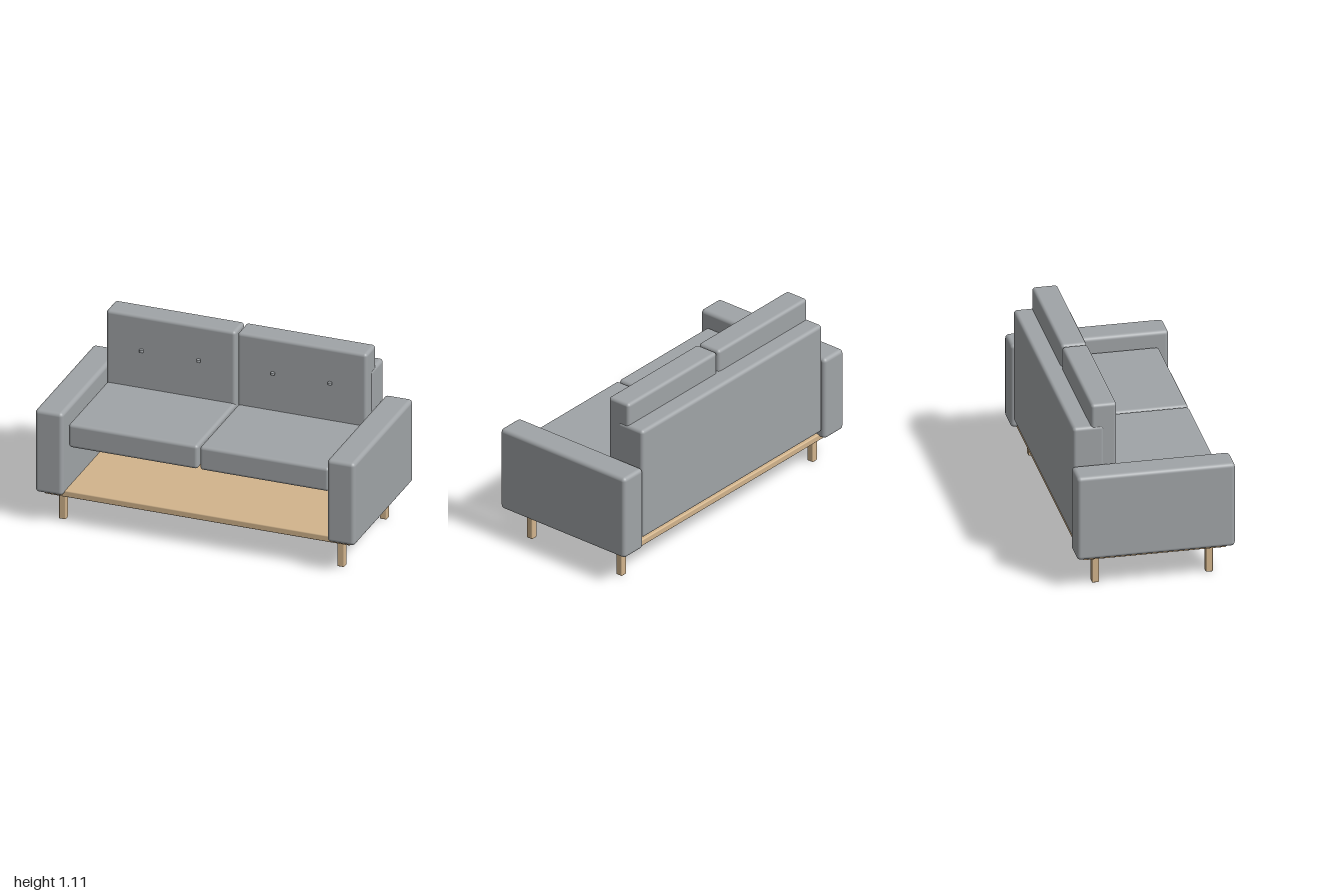
import * as THREE from 'three';
import { RoundedBoxGeometry } from 'three/addons/geometries/RoundedBoxGeometry.js';

export function createModel() {
  const sofa = new THREE.Group();
  sofa.name = 'sofa';

  const fabric = new THREE.MeshStandardMaterial({ color: 0xa0a4a7 });
  fabric.name = 'grey fabric';
  const wood = new THREE.MeshStandardMaterial({ color: 0xd2b48c });
  wood.name = 'light wood';

  // Rounded block given by its extents on each axis
  function block(name, [x0, x1], [y0, y1], [z0, z1], radius, material) {
    const geometry = new RoundedBoxGeometry(x1 - x0, y1 - y0, z1 - z0, 4, radius);
    const mesh = new THREE.Mesh(geometry, material);
    mesh.name = name;
    mesh.position.set((x0 + x1) / 2, (y0 + y1) / 2, (z0 + z1) / 2);
    sofa.add(mesh);
  }

  // Wooden base board and upholstered back panel
  block('baseBoard', [-0.955, 0.955], [0.18, 0.222], [-0.427, 0.427], 0.008, wood);
  block('backPanel', [-0.82, 0.82], [0.257, 0.973], [-0.459, -0.27], 0.022, fabric);

  const buttonGeometry = new THREE.CylinderGeometry(0.0125, 0.0125, 0.015, 16);

  for (const side of [-1, 1]) {
    const label = side > 0 ? 'left' : 'right';
    const span = (a, b) => (side > 0 ? [a, b] : [-b, -a]);

    // Arm, seat cushion and back cushion
    block(label + 'Arm', span(0.826, 1), [0.202, 0.736], [-0.471, 0.471], 0.024, fabric);
    block(label + 'SeatCushion', span(0.006, 0.815), [0.494, 0.647], [-0.3, 0.408], 0.02, fabric);
    block(label + 'BackCushion', span(0.006, 0.815), [0.6, 1.111], [-0.349, -0.196], 0.02, fabric);

    // Front and back legs
    for (const end of [-1, 1]) {
      const z = end * 0.339;
      block(label + (end > 0 ? 'FrontLeg' : 'BackLeg'),
        span(0.849, 0.892), [0, 0.18], [z - 0.0215, z + 0.0215], 0.006, wood);
    }

    // Buttons on the back cushion
    for (const x of [0.232, 0.59]) {
      const button = new THREE.Mesh(buttonGeometry, fabric);
      button.name = label + 'CushionButton';
      button.position.set(side * x, 0.892, -0.184);
      sofa.add(button);
    }
  }

  return sofa;
}
